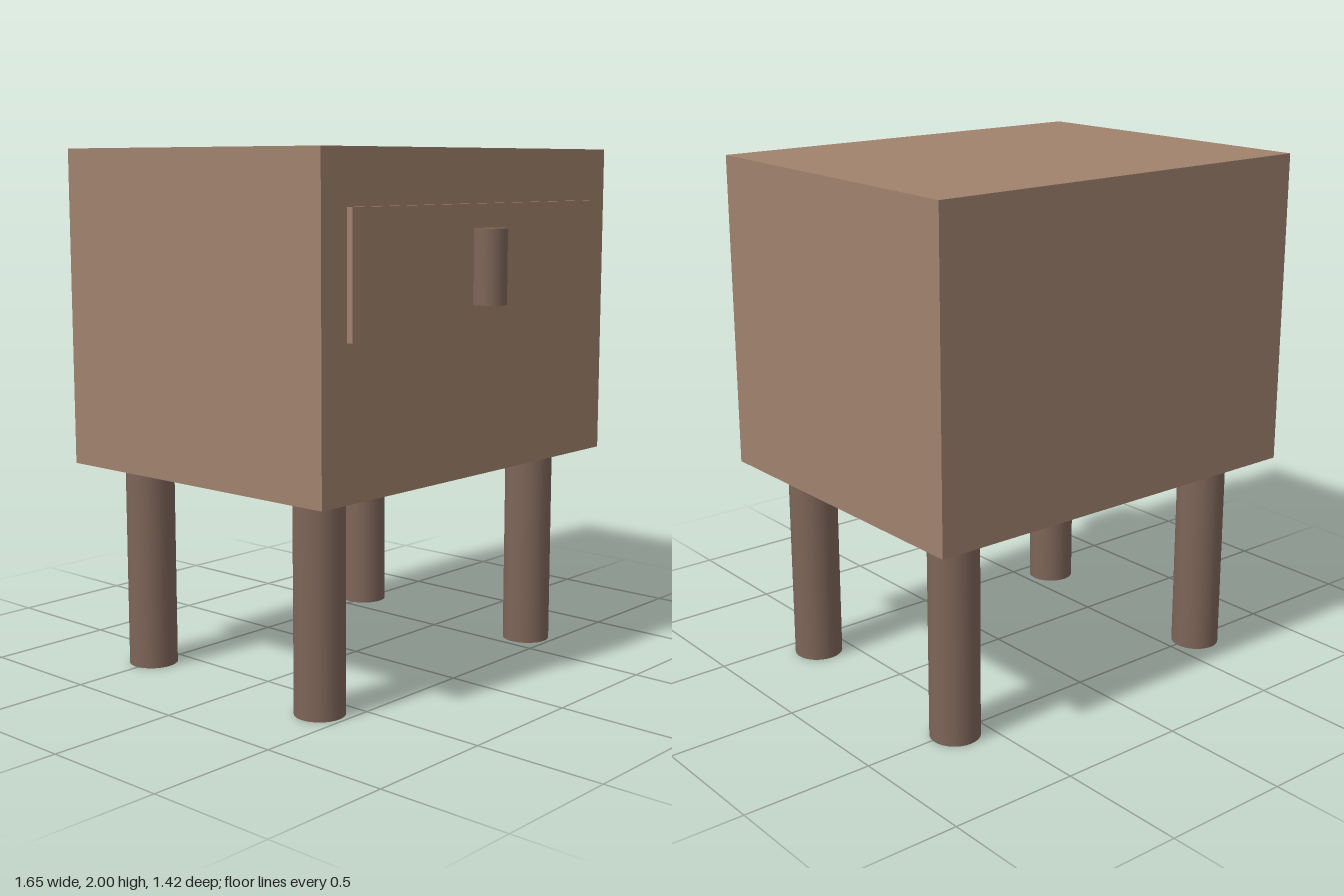
import * as THREE from 'three';

export function createModel() {
  const wood = new THREE.MeshStandardMaterial({ color: 0xa0826d });
  wood.name = 'light wood';
  const darkWood = new THREE.MeshStandardMaterial({ color: 0x7d6558 });
  darkWood.name = 'dark wood';

  const model = new THREE.Group();
  model.name = 'nightstand';

  const add = (name, geometry, material, x, y, z) => {
    const mesh = new THREE.Mesh(geometry, material);
    mesh.name = name;
    mesh.position.set(x, y, z);
    model.add(mesh);
  };

  // Cabinet box
  add('cabinet', new THREE.BoxGeometry(1.65, 1.2, 1.3), wood, 0, 1.4, -0.0625);

  // Drawer front, set slightly proud of the cabinet
  add('drawerFront', new THREE.BoxGeometry(1.4, 0.45, 0.05), wood, 0, 1.577, 0.5875);

  // Upright round handle
  add('handle', new THREE.CylinderGeometry(0.0625, 0.0625, 0.275, 32), darkWood, 0, 1.577, 0.65);

  // Four round legs
  const legGeometry = new THREE.CylinderGeometry(0.094, 0.094, 0.8, 32);
  for (const [side, x] of [['Left', 0.625], ['Right', -0.625]]) {
    for (const [end, z] of [['front', 0.3875], ['back', -0.5125]]) {
      add(`${end}${side}Leg`, legGeometry, darkWood, x, 0.4, z);
    }
  }

  return model;
}
